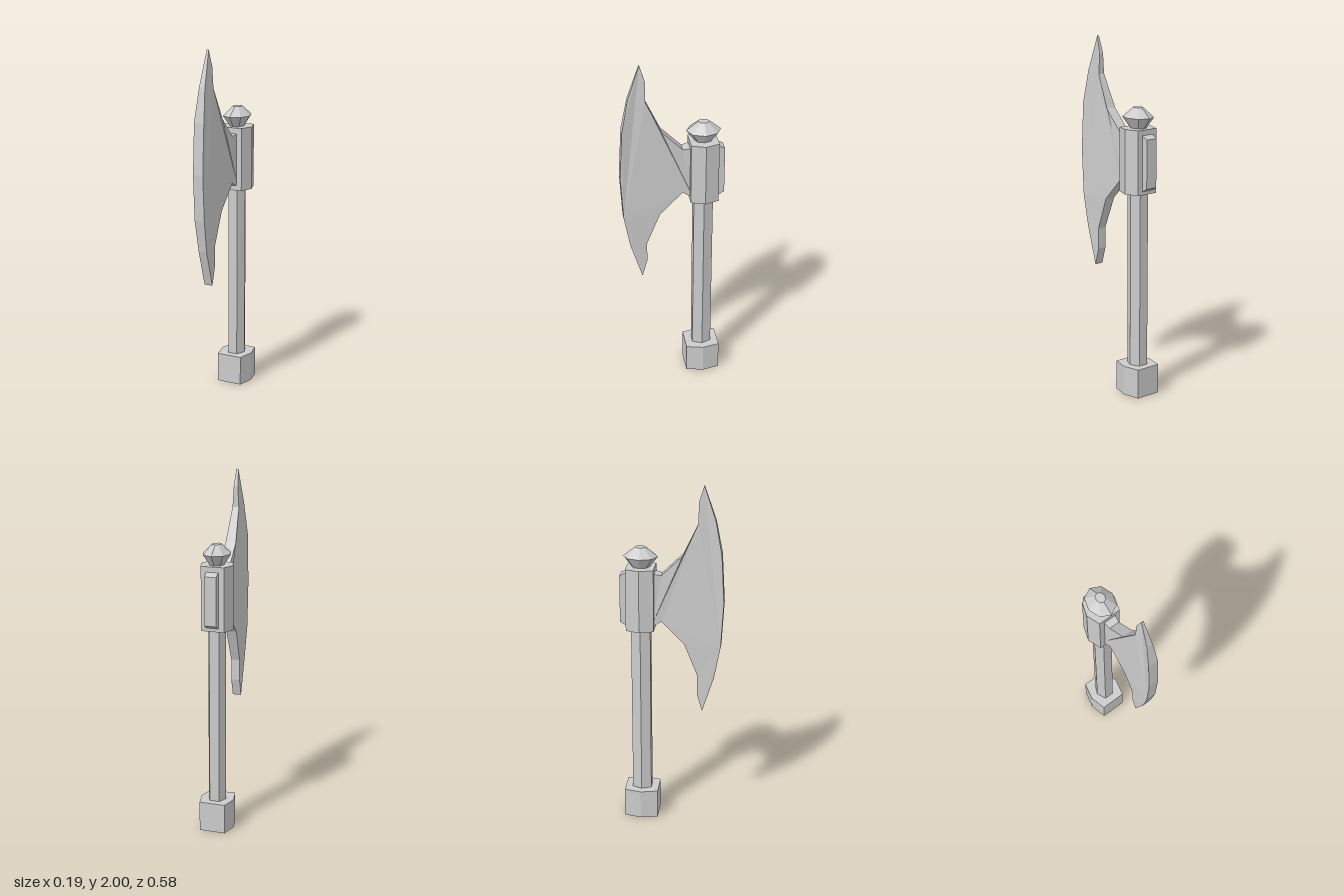
import * as THREE from 'three';

const AXIS_Z = -0.175; // the shaft stands behind the centre

const material = new THREE.MeshStandardMaterial({
  color: 0xcccccc, flatShading: true, side: THREE.DoubleSide,
});

function part(name, geometry) {
  const mesh = new THREE.Mesh(geometry, material);
  mesh.name = name;
  return mesh;
}

function outline(points) {
  return new THREE.Shape(points.map(([a, b]) => new THREE.Vector2(a, b)));
}

// Upright six-sided prism with its sharp corners on the x axis
function hexPrism(name, tipX, flatX, halfZ, y0, y1) {
  const shape = outline([
    [tipX, 0], [flatX, halfZ], [-flatX, halfZ],
    [-tipX, 0], [-flatX, -halfZ], [flatX, -halfZ],
  ]);
  const geometry = new THREE.ExtrudeGeometry(shape, { depth: y1 - y0, bevelEnabled: false });
  geometry.rotateX(-Math.PI / 2).translate(0, y0, AXIS_Z);
  return part(name, geometry);
}

// Slab from a (z, y) outline whose half thickness follows a rule
function slab(name, points, halfThickness) {
  const geometry = new THREE.ExtrudeGeometry(outline(points), { depth: 2, bevelEnabled: false });
  geometry.translate(0, 0, -1).rotateY(-Math.PI / 2);
  const p = geometry.attributes.position;
  for (let i = 0; i < p.count; i++) {
    p.setX(i, Math.sign(p.getX(i)) * halfThickness(p.getZ(i), p.getY(i)));
  }
  geometry.computeVertexNormals();
  return part(name, geometry);
}

// Flared at the socket, tapered towards the upper tip, blunt below
function bladeThickness(z, y) {
  if (z < -0.08) return 0.036;
  if (y > 1.62) return THREE.MathUtils.mapLinear(y, 1.62, 2, 0.029, 0.006);
  if (y < 0.95) return 0.025;
  return 0.03;
}

export function createModel() {
  const group = new THREE.Group();
  group.name = 'battleAxe';

  // Shaft
  group.add(hexPrism('pommel', 0.097, 0.074, 0.097, 0, 0.17));
  group.add(hexPrism('handle', 0.052, 0.028, 0.054, 0.16, 1.2));
  group.add(hexPrism('socket', 0.093, 0.066, 0.078, 1.17, 1.53));

  // Faceted finial
  const finial = new THREE.LatheGeometry([
    [0, 1.525], [0.038, 1.525], [0.079, 1.59], [0.026, 1.642], [0, 1.642],
  ].map(([r, y]) => new THREE.Vector2(r, y)), 8);
  finial.scale(1, 1, 1.22).translate(0, 0, AXIS_Z);
  group.add(part('finial', finial));

  // Chamfered block on the back of the socket
  group.add(slab('backBlock', [
    [-0.23, 1.19], [-0.23, 1.5], [-0.255, 1.5], [-0.29, 1.482], [-0.29, 1.21], [-0.255, 1.19],
  ], () => 0.034));

  // Crescent blade
  group.add(slab('blade', [
    [-0.11, 1.2], [-0.09, 1.2], [-0.057, 1.22], [0.07, 1.09], [0.145, 0.9], [0.145, 0.78],
    [0.174, 0.68], [0.24, 0.89], [0.275, 1.077], [0.29, 1.337], [0.275, 1.618],
    [0.24, 1.804], [0.174, 2], [0.145, 1.905], [0.145, 1.79], [0.06, 1.607],
    [-0.057, 1.49], [-0.09, 1.497], [-0.11, 1.497],
  ], bladeThickness));

  return group;
}
